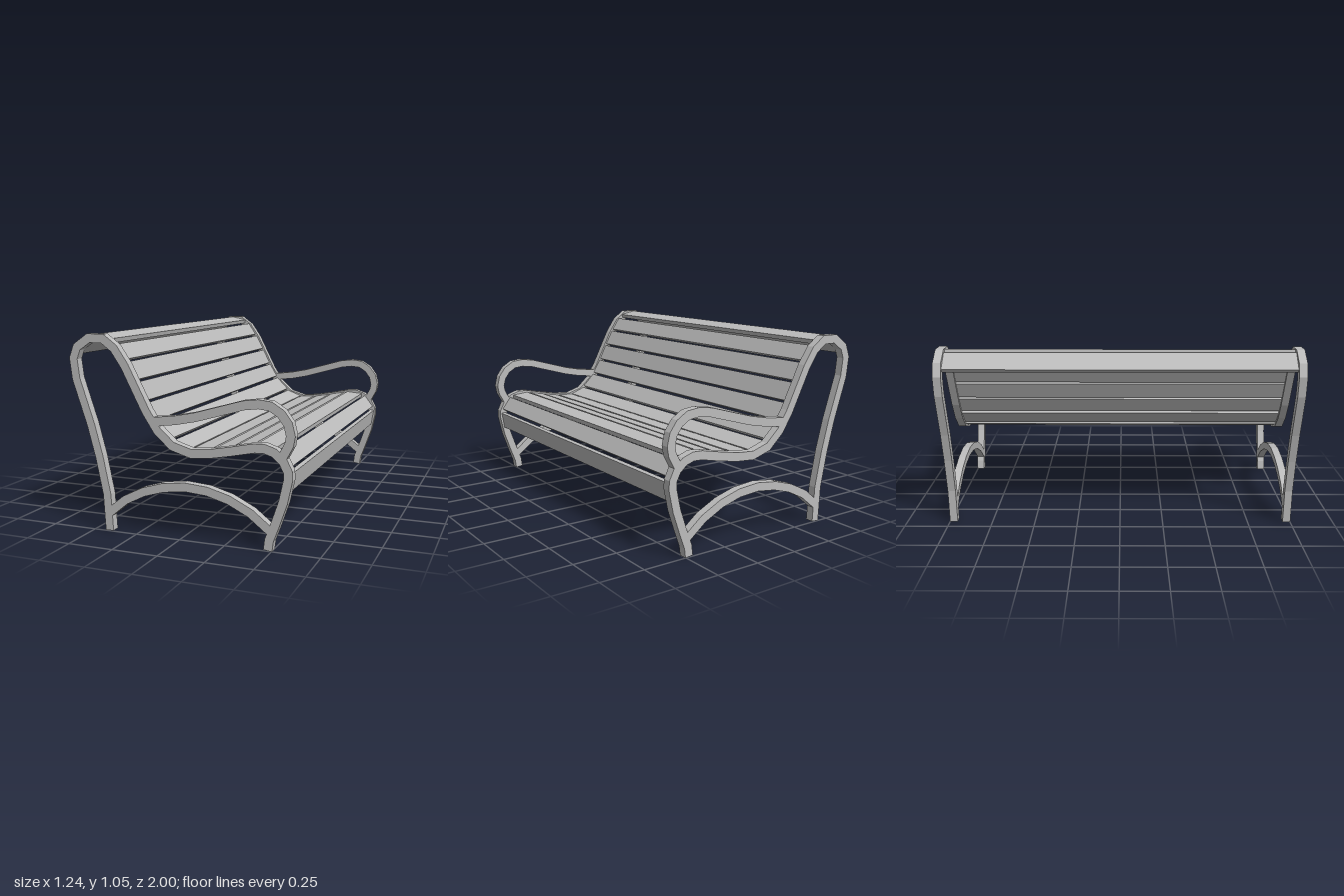
import * as THREE from 'three';

const BAR = 0.046;       // width of the frame bars
const DEPTH = 0.045;     // depth of the frame bars along z
const SLAT_THICK = 0.024;

// Side frame centrelines, drawn in the x-y plane
const MAIN = [
  [-0.41, 0.003], [-0.42, 0.2], [-0.46, 0.4], [-0.505, 0.57], [-0.585, 0.81], [-0.598, 0.915],
  [-0.575, 0.975], [-0.505, 1.023], [-0.422, 1.023], [-0.356, 0.975], [-0.296, 0.887],
  [-0.18, 0.66], [-0.118, 0.565], [-0.035, 0.49], [0.068, 0.459], [0.174, 0.467],
  [0.283, 0.487], [0.407, 0.513], [0.46, 0.515], [0.512, 0.498], [0.556, 0.46],
  [0.581, 0.41], [0.583, 0.37], [0.558, 0.256], [0.515, 0.131], [0.487, 0.056], [0.48, 0.003],
];
const ARM = [
  [-0.155, 0.607], [-0.018, 0.623], [0.094, 0.646], [0.267, 0.696], [0.353, 0.721],
  [0.429, 0.731], [0.492, 0.724], [0.545, 0.691], [0.58, 0.643], [0.594, 0.586],
  [0.586, 0.542], [0.55, 0.475],
];
const STRETCHER = [
  [-0.41, 0.1], [-0.313, 0.179], [-0.205, 0.233], [-0.094, 0.266], [0.031, 0.282],
  [0.157, 0.272], [0.275, 0.239], [0.389, 0.183], [0.495, 0.1],
];

// Slats: start and end of each board's cross-section
const BACK_SLATS = [
  [-0.59, 0.945, -0.505, 1.022], [-0.487, 1.031, -0.385, 1.01], [-0.365, 0.988, -0.313, 0.912],
  [-0.305, 0.9, -0.255, 0.81], [-0.25, 0.798, -0.203, 0.705], [-0.197, 0.693, -0.145, 0.608],
  [-0.137, 0.592, -0.06, 0.515],
];
const SEAT_SLATS = [
  [-0.05, 0.5, 0.045, 0.464], [0.055, 0.461, 0.155, 0.466], [0.17, 0.467, 0.27, 0.485],
  [0.285, 0.488, 0.385, 0.508], [0.4, 0.512, 0.505, 0.503], [0.52, 0.495, 0.577, 0.42],
  [0.584, 0.4, 0.568, 0.3],
];

// Mitred flat bar following a centreline, centred on z = 0
function barGeometry(points) {
  const p = points.map(([x, y]) => new THREE.Vector2(x, y));
  const normal = (a, b) => new THREE.Vector2(a.y - b.y, b.x - a.x).normalize();
  const left = [], right = [];
  p.forEach((c, i) => {
    const n0 = normal(p[Math.max(i - 1, 0)], p[Math.max(i, 1)]);
    const last = p.length - 1;
    const n1 = normal(p[Math.min(i, last - 1)], p[Math.min(i + 1, last)]);
    const m = n0.clone().add(n1).normalize();
    m.multiplyScalar(BAR / 2 / m.dot(n0));
    left.push(c.clone().add(m));
    right.unshift(c.clone().sub(m));
  });
  const geometry = new THREE.ExtrudeGeometry(new THREE.Shape([...left, ...right]), {
    depth: DEPTH, bevelEnabled: false,
  });
  return geometry.translate(0, 0, -DEPTH / 2);
}

export function createModel() {
  const grey = new THREE.MeshStandardMaterial({ color: 0xbcbcbc });
  grey.name = 'grey';
  const bench = new THREE.Group();
  bench.name = 'bench';

  // Two identical end frames
  const bars = { legAndBackFrame: MAIN, armrest: ARM, legStretcher: STRETCHER };
  for (const side of [1, -1]) {
    const frame = new THREE.Group();
    frame.name = side > 0 ? 'frontEndFrame' : 'rearEndFrame';
    for (const [name, path] of Object.entries(bars)) {
      const bar = new THREE.Mesh(barGeometry(path), grey);
      bar.name = name;
      frame.add(bar);
    }
    frame.position.z = side * (1 - DEPTH / 2);
    bench.add(frame);
  }

  // Long boards spanning between the frames
  const addSlats = (name, slats) => {
    const group = new THREE.Group();
    group.name = name;
    slats.forEach(([x0, y0, x1, y1], i) => {
      const width = Math.hypot(x1 - x0, y1 - y0);
      const slat = new THREE.Mesh(new THREE.BoxGeometry(width, SLAT_THICK, 2 - 2 * DEPTH), grey);
      slat.name = `${name}${i + 1}`;
      slat.position.set((x0 + x1) / 2, (y0 + y1) / 2, 0);
      slat.rotation.z = Math.atan2(y1 - y0, x1 - x0);
      group.add(slat);
    });
    bench.add(group);
  };
  addSlats('backSlats', BACK_SLATS);
  addSlats('seatSlats', SEAT_SLATS);

  return bench;
}
